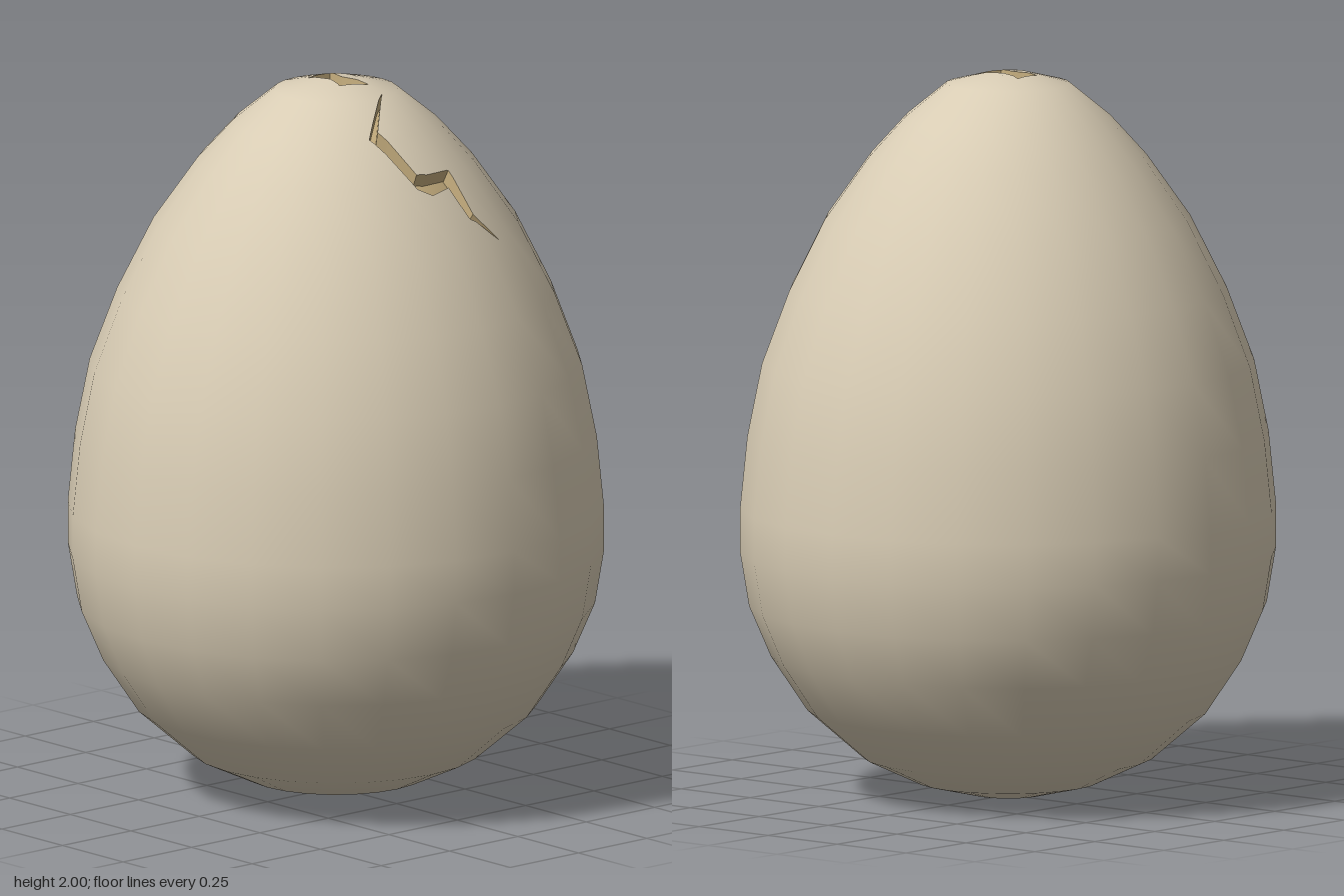
import * as THREE from 'three';

// Egg outline: [radius, height]
const PROFILE = [
  [0, 0], [0.1, 0.005], [0.25, 0.04], [0.4, 0.11], [0.55, 0.24], [0.65, 0.39], [0.71, 0.53],
  [0.735, 0.68], [0.735, 0.8], [0.715, 1.0], [0.675, 1.2], [0.6, 1.4], [0.5, 1.6], [0.38, 1.77],
  [0.28, 1.88], [0.17, 1.97], [0.06, 1.998], [0, 2],
];

// Cracks seen in plan (x, z): pairs of left and right edge points
const CRACKS = [
  [
    [[0.04, 0.145], [0.04, 0.145]], [[-0.1, 0.25], [-0.065, 0.245]], [[-0.04, 0.38], [-0.02, 0.355]],
    [[0, 0.4], [0.01, 0.36]], [[0.07, 0.385], [0.1, 0.35]], [[0.1, 0.44], [0.12, 0.43]],
    [[0.19, 0.462], [0.19, 0.462]],
  ],
  [[[-0.04, -0.07], [0.04, -0.07]], [[-0.02, 0], [0.02, 0]], [[-0.04, 0.06], [0.045, 0.085]]],
];
const DEPTH = 0.045;
const CORE = new THREE.Vector3(0, 1, 0);

// Turn a crack into convex cells; each edge knows whether it borders the shell
function crackCells(pairs) {
  const cells = [];
  for (let i = 0; i < pairs.length - 1; i++) {
    const [l, r] = pairs[i], [l2, r2] = pairs[i + 1];
    const c = [l, r, r2, l2];
    const rim = [i === 0, true, i === pairs.length - 2, true];
    let area = 0;
    c.forEach((p, k) => { const q = c[(k + 1) % 4]; area += p[0] * q[1] - p[1] * q[0]; });
    const edges = c.map((a, k) => {
      const b = c[(k + 1) % 4];
      const dx = b[0] - a[0], dz = b[1] - a[1], len = Math.hypot(dx, dz);
      const side = (v) => Math.sign(area) * (dx * (v.p.z - a[1]) - dz * (v.p.x - a[0])) / len;
      return { side, len, rim: rim[k] };
    });
    cells.push(edges.filter((e) => e.len > 1e-6));
  }
  return cells;
}

// Cut a convex polygon along a line into its inner and outer piece
function split(poly, side) {
  const inner = [], outer = [];
  poly.forEach((a, k) => {
    const b = poly[(k + 1) % poly.length];
    const da = side(a), db = side(b);
    if (da >= -1e-9) inner.push(a);
    if (da <= 1e-9) outer.push(a);
    if ((da > 1e-9 && db < -1e-9) || (da < -1e-9 && db > 1e-9)) {
      const t = da / (da - db);
      const m = { p: a.p.clone().lerp(b.p, t), n: a.n.clone().lerp(b.n, t).normalize() };
      inner.push(m);
      outer.push(m);
    }
  });
  return [inner, outer];
}

function addPolygon(list, poly) {
  for (let k = 1; k < poly.length - 1; k++) list.push(poly[0], poly[k], poly[k + 1]);
}

function toGeometry(list, smooth) {
  const geo = new THREE.BufferGeometry();
  const flat = (key) => new THREE.Float32BufferAttribute(list.flatMap((v) => v[key].toArray()), 3);
  geo.setAttribute('position', flat('p'));
  if (smooth) geo.setAttribute('normal', flat('n'));
  else geo.computeVertexNormals();
  return geo;
}

const sink = (v) => ({ p: v.p.clone().lerp(CORE, DEPTH), n: v.n });

export function createModel() {
  const shellMaterial = new THREE.MeshStandardMaterial({ color: 0xd8ccb4 });
  shellMaterial.name = 'eggshell';
  const crackMaterial = new THREE.MeshStandardMaterial({ color: 0xc8b080, side: THREE.DoubleSide });
  crackMaterial.name = 'crackTan';

  const lathe = new THREE.LatheGeometry(PROFILE.map(([r, y]) => new THREE.Vector2(r, y)), 24);
  const { position, normal } = lathe.attributes;
  const cells = CRACKS.flatMap(crackCells);
  const shell = [], floor = [], walls = [];

  for (let i = 0; i < lathe.index.count; i += 3) {
    const tri = [0, 1, 2].map((k) => {
      const id = lathe.index.getX(i + k);
      return {
        p: new THREE.Vector3().fromBufferAttribute(position, id),
        n: new THREE.Vector3().fromBufferAttribute(normal, id),
      };
    });
    if (new THREE.Triangle(...tri.map((v) => v.p)).getArea() < 1e-8) continue;
    let pieces = [tri];
    if (tri[0].p.y > 1.3) {
      for (const cell of cells) {
        const rest = [];
        for (const piece of pieces) {
          // Keep everything outside the crack as shell
          let inside = piece;
          const kept = [];
          for (const e of cell) {
            const [inner, outer] = split(inside, e.side);
            if (outer.length > 2) kept.push(outer);
            inside = inner;
            if (inside.length < 3) break;
          }
          if (inside.length < 3) { rest.push(piece); continue; }
          rest.push(...kept);
          // Sink the crack floor and close its rim with walls
          addPolygon(floor, inside.map(sink));
          inside.forEach((a, k) => {
            const b = inside[(k + 1) % inside.length];
            const onRim = cell.some((e) => e.rim && Math.abs(e.side(a)) < 1e-6 && Math.abs(e.side(b)) < 1e-6);
            if (onRim) addPolygon(walls, [b, a, sink(a), sink(b)]);
          });
        }
        pieces = rest;
      }
    }
    pieces.forEach((piece) => addPolygon(shell, piece));
  }

  const egg = new THREE.Group();
  egg.name = 'crackedEgg';
  const addMesh = (name, geo, material) => {
    const mesh = new THREE.Mesh(geo, material);
    mesh.name = name;
    egg.add(mesh);
  };
  addMesh('shell', toGeometry(shell, true), shellMaterial);
  addMesh('crackFloor', toGeometry(floor, true), crackMaterial);
  addMesh('crackWalls', toGeometry(walls, false), crackMaterial);
  return egg;
}
